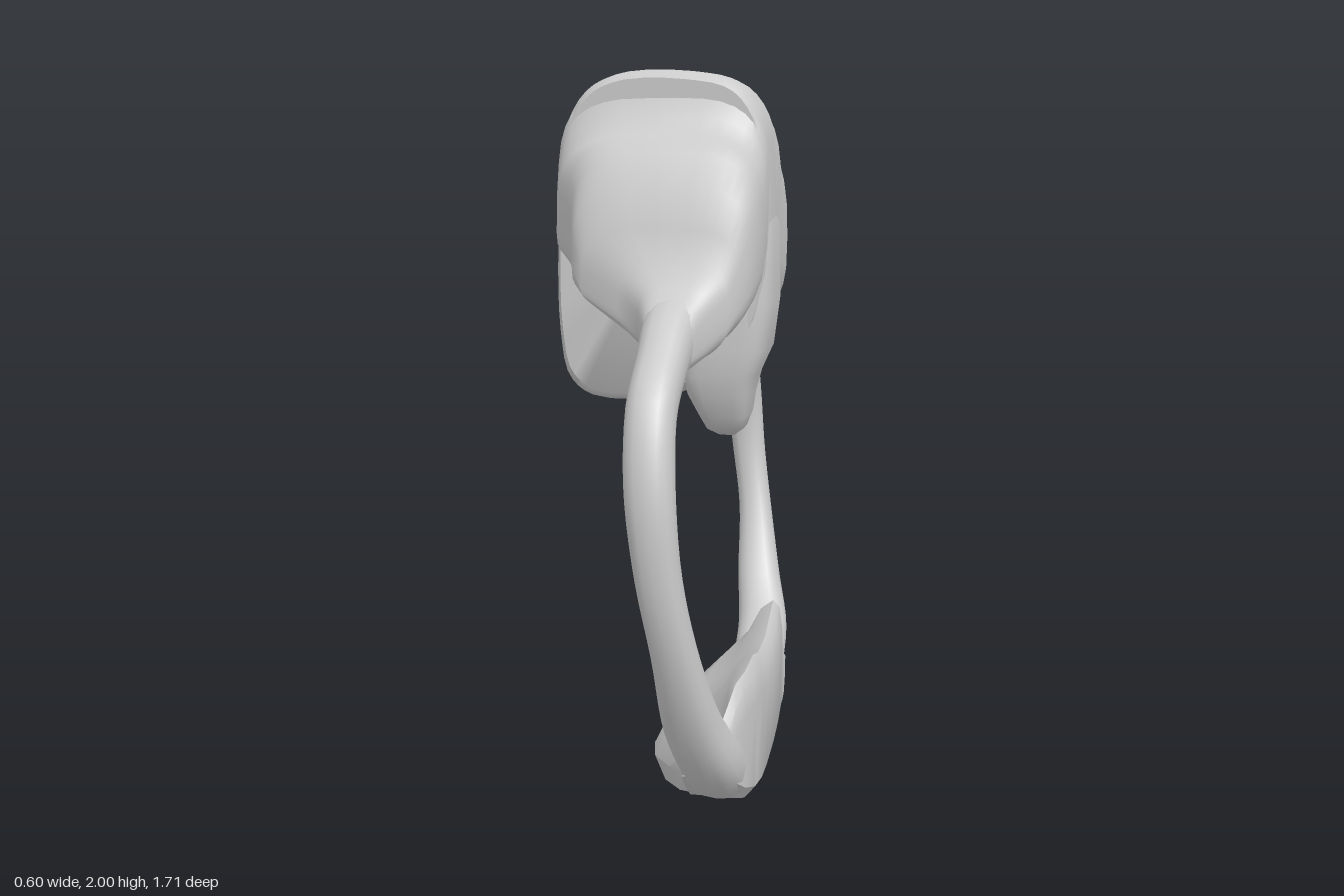
import * as THREE from 'three';
import { toCreasedNormals } from 'three/addons/utils/BufferGeometryUtils.js';

const material = new THREE.MeshStandardMaterial({ color: 0xcccccc });
const V = (x, y, z) => new THREE.Vector3(x, y, z);

// Closed skin over a row of rings with equal point counts, capped at both ends
function skin(rings, crease = 0.7) {
  const n = rings[0].length;
  const tris = [];
  for (let i = 0; i < rings.length - 1; i++) {
    for (let j = 0; j < n; j++) {
      const k = (j + 1) % n;
      const [a, b, c, d] = [rings[i][j], rings[i][k], rings[i + 1][k], rings[i + 1][j]];
      tris.push([a, b, c], [a, c, d]);
    }
  }
  [rings[0], rings[rings.length - 1]].forEach((ring, end) => {
    const mid = ring.reduce((s, p) => s.add(p), V(0, 0, 0)).divideScalar(n);
    ring.forEach((p, j) => {
      const q = ring[(j + 1) % n];
      tris.push(end ? [mid, p, q] : [mid, q, p]);
    });
  });
  // turn the faces outward
  const volume = tris.reduce((s, [a, b, c]) => s + a.dot(b.clone().cross(c)), 0);
  if (volume < 0) tris.forEach((t) => t.reverse());
  const geometry = new THREE.BufferGeometry().setFromPoints(tris.flat());
  return toCreasedNormals(geometry, crease);
}

// Rounded-box outline, returned as [u, v] pairs
function outline(u0, u1, v0, v1, power = 0.5, count = 36) {
  return Array.from({ length: count }, (_, i) => {
    const a = (i / count) * Math.PI * 2;
    const soft = (s) => Math.sign(s) * Math.abs(s) ** power;
    return [
      (u0 + u1) / 2 + (soft(Math.cos(a)) * (u1 - u0)) / 2,
      (v0 + v1) / 2 + (soft(Math.sin(a)) * (v1 - v0)) / 2,
    ];
  });
}

export function createModel() {
  const group = new THREE.Group();
  const add = (name, geometry) => {
    const mesh = new THREE.Mesh(geometry, material);
    mesh.name = name;
    group.add(mesh);
  };

  // Tall middle block running across the head, thinner towards its foot
  const profile = new THREE.CatmullRomCurve3([
    [-0.21, 1.105], [-0.02, 1.105], [0.06, 1.13], [0.14, 1.19], [0.25, 1.29], [0.285, 1.45],
    [0.285, 1.75], [0.265, 1.88], [0.2, 1.965], [0.08, 1.995], [-0.12, 1.995], [-0.21, 1.955],
    [-0.27, 1.86], [-0.287, 1.7], [-0.3, 1.5], [-0.297, 1.3], [-0.275, 1.16],
  ].map(([x, y]) => V(x, y, 0)), true).getPoints(60).slice(0, 60);
  const rows = [[-0.17, 0.93], [-0.15, 0.975], [-0.07, 1], [0.07, 1], [0.13, 0.98], [0.15, 0.94]];
  add('middleBlock', skin(rows.map(([z, s]) => profile.map(({ x, y }) =>
    V(x * s, 1.55 + (y - 1.55) * s, z * (1 - Math.max(0, 1.3 - y) * 0.9))))));

  // Rounded shoulders running into the band: z, x from, x to, y from, y to
  const shoulders = {
    frontShoulder: [
      [0.05, -0.29, 0.285, 1.32, 1.96], [0.14, -0.288, 0.287, 1.32, 1.95],
      [0.165, -0.285, 0.287, 1.32, 1.875],
      [0.21, -0.275, 0.29, 1.31, 1.825], [0.27, -0.235, 0.29, 1.3, 1.81],
      [0.33, -0.205, 0.285, 1.29, 1.775], [0.375, -0.19, 0.27, 1.28, 1.69],
      [0.4, -0.16, 0.25, 1.28, 1.59], [0.425, -0.06, 0.225, 1.27, 1.49],
      [0.46, 0, 0.19, 1.26, 1.44], [0.51, 0.02, 0.165, 1.245, 1.4], [0.57, 0.05, 0.14, 1.24, 1.34],
    ],
    backShoulder: [
      [-0.05, -0.29, 0.29, 1.28, 1.97], [-0.15, -0.288, 0.29, 1.27, 1.96],
      [-0.185, -0.285, 0.29, 1.27, 1.9], [-0.24, -0.27, 0.29, 1.27, 1.865],
      [-0.3, -0.235, 0.29, 1.27, 1.83], [-0.36, -0.205, 0.287, 1.27, 1.79],
      [-0.4, -0.19, 0.28, 1.27, 1.73], [-0.425, -0.15, 0.26, 1.27, 1.62],
      [-0.44, -0.06, 0.225, 1.27, 1.51], [-0.47, 0, 0.19, 1.26, 1.43],
      [-0.52, 0.02, 0.165, 1.24, 1.39], [-0.57, 0.05, 0.14, 1.24, 1.34],
    ],
  };
  for (const [name, list] of Object.entries(shoulders)) {
    add(name, skin(list.map(([z, x0, x1, y0, y1]) =>
      outline(x0, x1, y0, y1, 0.55).map(([x, y]) => {
        // the underside slopes up to both sides of the band
        const low = Math.max(0, (y0 + y1) / 2 - y) / ((y1 - y0) / 2);
        const rise = Math.max(0, 0.06 - x) * (z > 0 ? 0.55 : 0.4) + Math.max(0, x - 0.18) * 0.4;
        return V(x, y + low * rise, z);
      })), 1));
  }

  // Tongue hanging from the outer face: y, x from, x to, z from, z to
  const tongue = [
    [1.64, 0.1, 0.284, -0.14, 0.13], [1.58, 0.08, 0.296, -0.16, 0.145],
    [1.38, 0.05, 0.3, -0.165, 0.152], [1.25, 0.04, 0.285, -0.15, 0.152],
    [1.18, 0.04, 0.255, -0.12, 0.148], [1.12, 0.06, 0.24, -0.1, 0.132],
    [1.06, 0.09, 0.23, -0.095, 0.11], [1.02, 0.11, 0.215, -0.075, 0.085],
    [1.0, 0.14, 0.19, -0.04, 0.045],
  ];
  add('tongue', skin(tongue.map(([y, x0, x1, z0, z1]) =>
    outline(x0, x1, z0, z1, 0.45).map(([x, z]) => V(x, y, z)))));

  // Band: x, y, z, half thickness, half width, mirrored front to back
  const half = [
    [0.1, 1.36, 0.42, 0.08, 0.08], [0.09, 1.325, 0.5, 0.08, 0.07],
    [0.09, 1.27, 0.6, 0.068, 0.062], [0.09, 1.17, 0.725, 0.063, 0.06],
    [0.1, 1.0, 0.79, 0.057, 0.06], [0.12, 0.8, 0.793, 0.054, 0.055],
    [0.15, 0.6, 0.75, 0.056, 0.055], [0.175, 0.4, 0.66, 0.066, 0.07],
    [0.205, 0.25, 0.54, 0.078, 0.08], [0.205, 0.135, 0.36, 0.075, 0.08],
    [0.2, 0.08, 0.18, 0.06, 0.08],
  ];
  const stations = [...half, [0.2, 0.065, 0, 0.055, 0.08],
    ...half.map(([x, y, z, a, b]) => [x, y, -z, a, b]).reverse()];
  const curve = (points) => new THREE.CatmullRomCurve3(points, false, 'catmullrom', 0.5);
  const path = curve(stations.map(([x, y, z]) => V(x, y, z)));
  const size = curve(stations.map(([, , , a, b]) => V(a, b, 0)));
  const bandRings = Array.from({ length: 97 }, (_, i) => {
    const t = i / 96;
    const p = path.getPoint(t);
    const s = size.getPoint(t);
    const d = path.getTangent(t);
    const normal = V(0, -d.z, d.y).normalize();
    return outline(-s.x, s.x, -s.y, s.y, 0.8, 16).map(([u, v]) =>
      p.clone().addScaledVector(normal, u).add(V(v, 0, 0)));
  });
  add('band', skin(bandRings, 1));

  // Upright plate with a flared foot: z, top y, bottom y, inner edge x
  const plate = [
    [0.6, 0.34, 0.22, 0.18], [0.53, 0.385, 0.155, 0.16], [0.47, 0.425, 0.11, 0.12],
    [0.35, 0.42, 0.055, 0.06], [0.2, 0.41, 0.01, -0.01], [0.08, 0.375, 0, -0.035],
    [-0.08, 0.365, 0, -0.035], [-0.2, 0.395, 0.01, -0.01], [-0.29, 0.415, 0.04, 0.04],
    [-0.315, 0.3, 0.05, 0.05], [-0.36, 0.24, 0.065, 0.09], [-0.45, 0.2, 0.105, 0.14],
  ];
  add('footPlate', skin(plate.map(([z, top, base, inner]) => {
    const h = top - base;
    const outer = 0.298 - Math.max(0, Math.abs(z) - 0.42) * 0.2;
    const at = (f) => inner + (0.25 - inner) * f;
    return [
      [outer, base + h * 0.1], [outer, base + h * 0.75], [outer - 0.01, top - h * 0.06],
      [outer - 0.03, top], [at(0.9), base + h * 0.92], [at(0.72), base + h * 0.72],
      [at(0.4), base + h * 0.53], [at(0.14), base + h * 0.38], [inner, base + h * 0.2],
      [inner + 0.03, base + h * 0.02], [0.14, base], [outer - 0.03, base],
    ].map(([x, y]) => V(x, y, z));
  })));

  return group;
}
